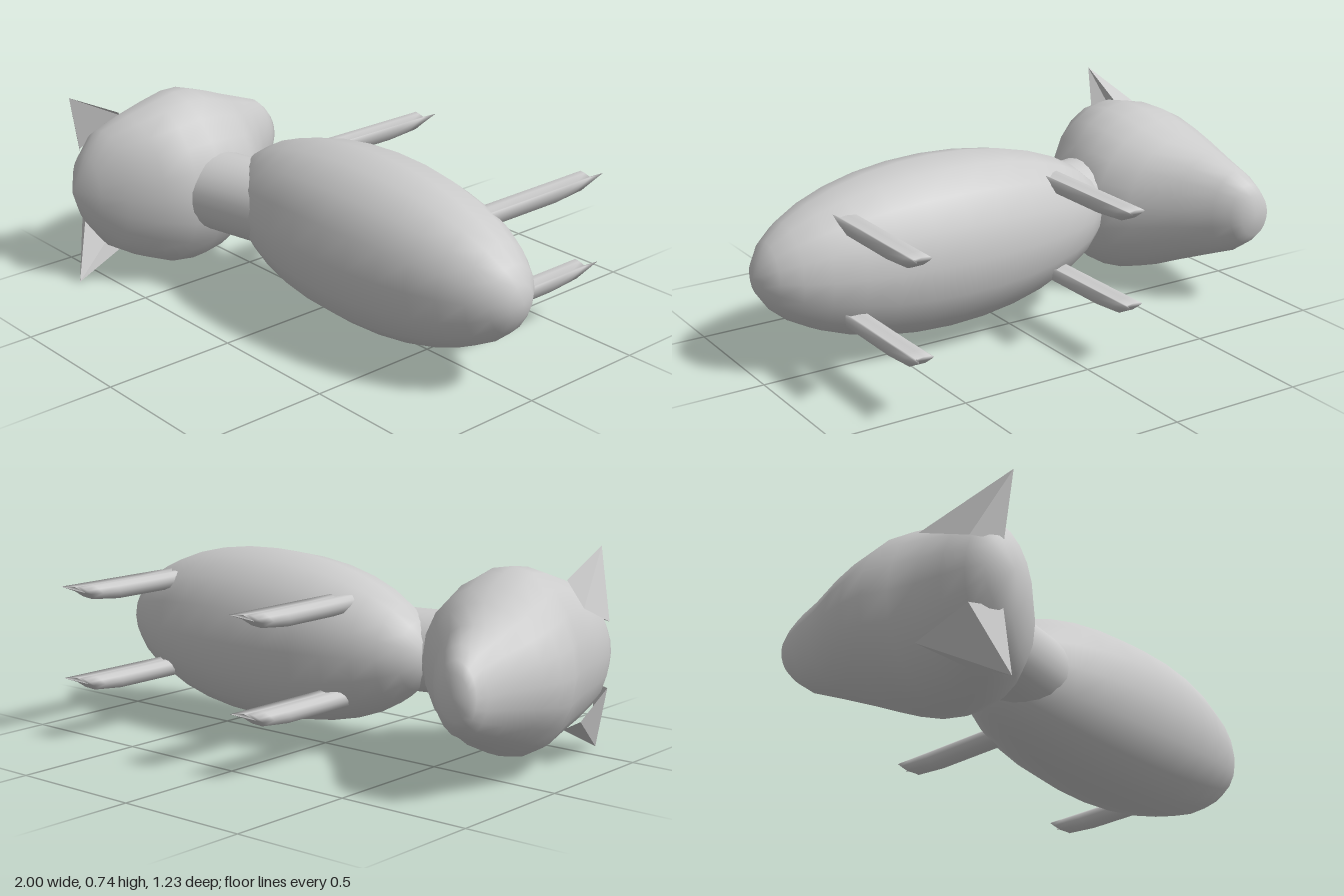
import * as THREE from 'three';

const MID = 0.37; // height of the mirror plane between both flanks
const grey = new THREE.MeshStandardMaterial({ color: 0xcccccc });
const greyThin = new THREE.MeshStandardMaterial({ color: 0xcccccc, side: THREE.DoubleSide });

// Closed skin over rings of [x, y, z]; rings run towards +z, counter-clockwise seen from +z
function loft(rings, startTip, endTip) {
  const n = rings[0].length;
  const pos = rings.flat(2);
  const idx = [];
  for (let r = 0; r < rings.length - 1; r++) {
    for (let i = 0; i < n; i++) {
      const a = r * n + i, b = r * n + (i + 1) % n;
      idx.push(a, b, a + n, b, b + n, a + n);
    }
  }
  const s = rings.length * n, last = s - n;
  pos.push(...startTip, ...endTip);
  for (let i = 0; i < n; i++) {
    const j = (i + 1) % n;
    idx.push(s, j, i, s + 1, last + i, last + j);
  }
  const g = new THREE.BufferGeometry();
  g.setAttribute('position', new THREE.Float32BufferAttribute(pos, 3));
  g.setIndex(idx);
  g.computeVertexNormals();
  return g;
}

function add(group, name, geometry, material = grey) {
  const mesh = new THREE.Mesh(geometry, material);
  mesh.name = name;
  group.add(mesh);
  return mesh;
}

// Head: oval slices from muzzle to crown as [z, xMin, xMax, half width in y]
function headGeometry() {
  const slices = [
    [-0.37, -0.91, -0.79, 0.08], [-0.34, -0.92, -0.76, 0.115], [-0.29, -0.93, -0.71, 0.155],
    [-0.18, -0.95, -0.625, 0.2], [-0.06, -0.985, -0.5, 0.25], [0.03, -0.998, -0.42, 0.29],
    [0.12, -0.995, -0.395, 0.322], [0.21, -0.955, -0.39, 0.334], [0.31, -0.925, -0.405, 0.318],
    [0.41, -0.91, -0.47, 0.28], [0.5, -0.89, -0.575, 0.23], [0.56, -0.86, -0.67, 0.14],
  ];
  const rings = slices.map(([z, x0, x1, ry]) => Array.from({ length: 20 }, (_, i) => {
    const a = (i / 20) * Math.PI * 2;
    return [(x0 + x1) / 2 + (x1 - x0) / 2 * Math.cos(a), MID + ry * Math.sin(a), z];
  }));
  return loft(rings, [-0.85, MID, -0.375], [-0.78, MID, 0.615]);
}

// Ear: thin pointed shell, hollow towards the body
function earGeometry(side) {
  const tip = [-0.78, 0.37, 0.605];
  const rim = [[-0.78, 0.12, 0.565], [-0.88, 0.12, 0.51], [-0.905, 0.2, 0.3], [-0.77, 0.27, 0.4]];
  const pos = [];
  for (let i = 0; i < rim.length - 1; i++) {
    const tri = side > 0 ? [tip, rim[i], rim[i + 1]] : [tip, rim[i + 1], rim[i]];
    for (const [x, y, z] of tri) pos.push(x, MID + side * y, z);
  }
  const g = new THREE.BufferGeometry();
  g.setAttribute('position', new THREE.Float32BufferAttribute(pos, 3));
  g.computeVertexNormals();
  return g;
}

// Leg: half-round rod with a lip along one edge, which runs out to a point at the foot
function legGeometry() {
  // cross-section as [x, y, z of the foot end]
  const section = [
    [0.045, 0, -0.61], [0.027, -0.008, -0.56], [0, -0.002, -0.565], [-0.025, -0.002, -0.57],
    [-0.04, -0.015, -0.56], [-0.043, -0.035, -0.54], [-0.03, -0.058, -0.52],
    [0, -0.07, -0.5], [0.028, -0.058, -0.52], [0.04, -0.03, -0.55],
  ];
  const rings = [0, 0.1, 0.25, 0.6, 1].map((t) => section.map(([x, y, z]) => {
    const squeeze = 0.8 + 0.2 * Math.min(1, t * 4);
    return [x, y * squeeze, z + (0.02 - z) * t];
  }));
  return loft(rings, [0, -0.03, -0.53], [0, -0.03, 0.02]);
}

export function createModel() {
  const model = new THREE.Group();
  model.name = 'animal';

  // Barrel-shaped body, poles along x
  const body = new THREE.SphereGeometry(1, 16, 16);
  body.rotateZ(Math.PI / 2);
  body.scale(0.715, 0.32, 0.278);
  body.translate(0.283, MID, 0.055);
  add(model, 'body', body);

  // Neck: tilted cylinder joining head and body
  const from = new THREE.Vector3(-0.56, MID, 0.205);
  const to = new THREE.Vector3(-0.06, MID, 0.1);
  const neck = add(model, 'neck', new THREE.CylinderGeometry(0.15, 0.15, from.distanceTo(to), 24));
  neck.position.copy(from).add(to).multiplyScalar(0.5);
  neck.quaternion.setFromUnitVectors(new THREE.Vector3(0, 1, 0), to.clone().sub(from).normalize());

  add(model, 'head', headGeometry());
  add(model, 'leftEar', earGeometry(1), greyThin);
  add(model, 'rightEar', earGeometry(-1), greyThin);

  // Four identical legs
  const leg = legGeometry();
  for (const [end, x] of [['front', -0.145], ['hind', 0.695]]) {
    for (const [flank, y] of [['Left', 0.58], ['Right', 0.24]]) {
      add(model, `${end}${flank}Leg`, leg).position.set(x, y, 0);
    }
  }
  return model;
}
